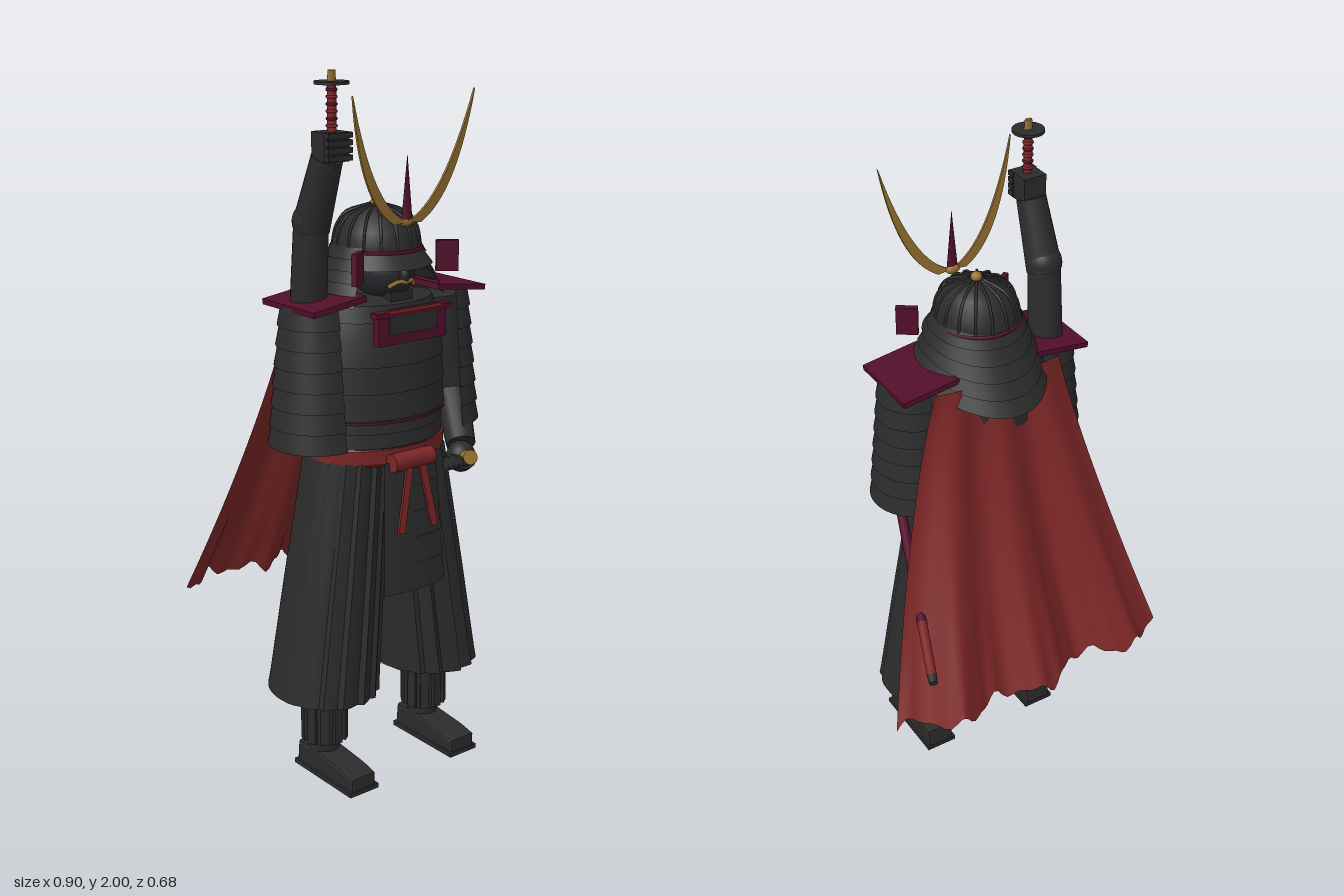
import * as THREE from 'three';
import { toCreasedNormals } from 'three/addons/utils/BufferGeometryUtils.js';

const paint = (name, color) => new THREE.MeshStandardMaterial({ name, color, side: THREE.DoubleSide });
const V = (x, y, z) => new THREE.Vector3(x, y, z);
const CX = -0.045, CZ = 0.13; // body axis

export function createModel() {
  const root = new THREE.Group();
  const black = paint('blackArmour', 0x2b2b2b);
  const mask = paint('darkSteel', 0x25282c);
  const red = paint('redCloth', 0x7c2626);
  const maroon = paint('maroonLacquer', 0x530f2a);
  const gold = paint('gold', 0x957030);

  function add(name, geo, mat, x = 0, y = 0, z = 0, parent = root) {
    const m = new THREE.Mesh(geo, mat);
    m.name = name;
    m.position.set(x, y, z);
    parent.add(m);
    return m;
  }
  const box = (name, w, h, d, mat, x, y, z) => add(name, new THREE.BoxGeometry(w, h, d), mat, x, y, z);

  // Tapered round bar between two points
  function limb(name, a, b, ra, rb, mat, sides = 16) {
    const dir = b.clone().sub(a);
    const m = add(name, new THREE.CylinderGeometry(rb, ra, dir.length(), sides), mat);
    m.position.copy(a).lerp(b, 0.5);
    m.quaternion.setFromUnitVectors(V(0, 1, 0), dir.normalize());
    return m;
  }
  function ball(name, x, y, z, rx, ry, rz, mat) {
    const m = add(name, new THREE.SphereGeometry(1, 20, 14), mat, x, y, z);
    m.scale.set(rx, ry, rz);
    return m;
  }
  // Lathe with crisp edges, optional arc and vertex rule
  function lathe(pts, zScale = 1, start = 0, arc = Math.PI * 2, segs = 40, rule = null) {
    const g = new THREE.LatheGeometry(pts.map(p => new THREE.Vector2(p[0], p[1])), segs, start, arc);
    g.scale(1, 1, zScale);
    if (rule) {
      const p = g.attributes.position, v = V(0, 0, 0);
      for (let i = 0; i < p.count; i++) {
        rule(v.fromBufferAttribute(p, i));
        p.setXYZ(i, v.x, v.y, v.z);
      }
    }
    return toCreasedNormals(g, 0.6);
  }
  // Overlapping lamellae: each row flares out over the one below
  function rows(y0, y1, n, radius, lip = 0.006) {
    const pts = [];
    for (let i = 0; i < n; i++) {
      const a = i / n, b = (i + 1) / n;
      pts.push([radius(a) + lip, y0 + (y1 - y0) * a], [radius(b), y0 + (y1 - y0) * b]);
    }
    return pts;
  }

  // Legs, mirrored about the body axis
  for (const s of [-1, 1]) {
    const x = CX + s * 0.187;
    box('sandal', 0.1, 0.014, 0.265, black, x, 0.007, 0.183);
    const side = new THREE.Shape([[-0.305, 0.014], [-0.305, 0.045], [-0.26, 0.055], [-0.12, 0.07], [-0.065, 0.065], [-0.06, 0.014]]
      .map(p => new THREE.Vector2(...p)));
    const foot = new THREE.ExtrudeGeometry(side, { depth: 0.066, bevelSize: 0.008, bevelThickness: 0.01, bevelSegments: 2 });
    foot.translate(0, 0, -0.033).rotateY(Math.PI / 2);
    add('foot', foot, black, x, 0, 0);
    limb('ankle', V(x, 0.04, 0.125), V(x, 0.12, 0.13), 0.045, 0.045, black);
    limb('shin', V(x, 0.1, CZ), V(x, 0.42, CZ), 0.057, 0.062, black);
    for (let i = 0; i < 10; i++) {
      const a = i / 10 * Math.PI * 2;
      const splint = box('shinSplint', 0.026, 0.3, 0.014, black, x + Math.sin(a) * 0.06, 0.255, CZ + Math.cos(a) * 0.06);
      splint.rotation.y = a;
    }
    // Wide trouser leg with pleats at the front
    const leg = lathe([[0.05, 0.28], [0.14, 0.28], [0.15, 0.262], [0.147, 0.3], [0.133, 0.58], [0.112, 0.95]], 1.13, 0, Math.PI * 2, 72, v => {
      const a = Math.atan2(v.x, v.z), t = (v.y - 0.26) / 0.69;
      const k = 1 + 0.05 * Math.max(0, Math.cos(a)) * (((s * a * 18 / Math.PI) % 2 + 2) % 2 - 1);
      v.x = v.x * k - s * t * 0.085;
      v.z *= k;
    });
    add('trouserLeg', leg, black, x, 0, 0.122);
  }

  // Armoured skirt: side and back panels, plus a front panel hung further forward
  const skirtRows = rows(0.575, 0.95, 5, t => 0.272 - 0.062 * t, 0.004);
  for (const [mid, half] of [[1.05, 0.42], [2.0, 0.46], [Math.PI, 0.6], [-2.0, 0.46], [-1.05, 0.42]])
    add('skirtPanel', lathe(skirtRows, 0.61, mid - half, half * 2, 14), black, CX, 0, 0.108);
  add('frontSkirtPanel', lathe(rows(0.575, 0.95, 5, t => 0.28 - 0.045 * t, 0.005), 0.6, -0.4, 0.8, 14), black, CX, 0, 0.148);

  // Cuirass
  add('cuirass', lathe([[0.195, 0.98], ...rows(0.99, 1.07, 2, t => 0.2), ...rows(1.07, 1.29, 3, t => 0.207 - 0.012 * t * t),
    ...rows(1.29, 1.38, 2, t => 0.19 - 0.02 * t), [0.08, 1.4], [0.07, 1.46]], 0.74), black, CX, 0, CZ);
  add('waistTrim', lathe([[0.215, 1.06], [0.215, 1.068]], 0.74), maroon, CX, 0, CZ);
  // Breast plate in a lacquered frame
  box('breastFrame', 0.235, 0.09, 0.024, maroon, CX, 1.325, 0.275);
  box('breastInset', 0.165, 0.055, 0.008, black, CX, 1.335, 0.289);
  box('collarBar', 0.26, 0.014, 0.03, maroon, CX, 1.365, 0.28);
  box('collarCord', 0.18, 0.01, 0.01, red, CX, 1.372, 0.295);

  // Sash with knot and tails
  add('sash', lathe([[0.2, 0.935], [0.214, 0.945], [0.216, 0.985], [0.2, 1.0]], 0.7), red, CX, 0, CZ);
  limb('sashKnot', V(-0.12, 0.95, 0.29), V(0.02, 0.95, 0.29), 0.026, 0.026, red);
  for (const s of [-1, 1]) {
    const tail = box('sashTail', 0.022, 0.2, 0.008, red, CX + s * 0.04, 0.85, 0.31);
    tail.rotation.set(-0.06, 0, s * 0.2);
  }

  // Shoulder plates and hanging sleeve guards
  for (const s of [-1, 1]) {
    const plate = box('shoulderPlate', 0.175, 0.016, 0.23, maroon, CX + s * 0.212, 1.395, CZ);
    plate.rotation.z = -s * 0.13;
    add('sleeveGuard', lathe(rows(1.0, 1.385, 7, t => 0.13 - 0.035 * t, 0.006), 1, s > 0 ? 0 : Math.PI, Math.PI, 24), black, CX + s * 0.205, 0, CZ);
  }

  // Raised right arm with gauntlet
  const hand = V(-0.27, 1.81, 0.222);
  limb('raisedUpperArm', V(-0.265, 1.3, 0.11), V(-0.272, 1.61, 0.14), 0.052, 0.047, black);
  ball('raisedElbow', -0.272, 1.61, 0.142, 0.052, 0.052, 0.052, black);
  limb('raisedForearm', V(-0.272, 1.59, 0.138), V(-0.27, 1.78, 0.208), 0.051, 0.042, black);
  box('raisedHand', 0.07, 0.075, 0.068, black, hand.x, hand.y, hand.z);
  for (let i = 0; i < 4; i++) box('finger', 0.078, 0.014, 0.024, black, hand.x, 1.783 + i * 0.019, hand.z + 0.032);
  // Sword hilt
  limb('hilt', V(-0.27, 1.74, 0.228), V(-0.27, 1.965, 0.228), 0.012, 0.012, red);
  for (let i = 0; i < 6; i++) {
    const wrap = add('hiltWrap', new THREE.TorusGeometry(0.012, 0.004, 6, 14), i % 2 ? maroon : red, -0.27, 1.862 + i * 0.018, 0.228);
    wrap.rotation.x = Math.PI / 2;
  }
  limb('guard', V(-0.27, 1.965, 0.228), V(-0.27, 1.973, 0.228), 0.045, 0.045, black, 24);
  limb('hiltCollar', V(-0.27, 1.973, 0.228), V(-0.27, 2.0, 0.228), 0.013, 0.011, gold).scale.z = 0.6;

  // Lowered left arm resting on the scabbard
  limb('leftUpperArm', V(0.19, 1.36, CZ), V(0.23, 1.07, 0.135), 0.058, 0.052, black);
  ball('leftElbow', 0.23, 1.07, 0.135, 0.056, 0.056, 0.056, black);
  limb('leftForearm', V(0.23, 1.07, 0.135), V(0.16, 0.945, 0.26), 0.052, 0.042, black);
  ball('leftHand', 0.147, 0.915, 0.275, 0.042, 0.045, 0.042, black);
  for (let i = 0; i < 4; i++) box('leftFinger', 0.022, 0.02, 0.055, black, 0.115, 0.89 + i * 0.01, 0.245 + i * 0.02);
  // Scabbard
  const A = V(0.125, 0.932, 0.34), B = V(0.38, 0.71, -0.33);
  const along = t => A.clone().lerp(B, t);
  limb('scabbardMouth', along(0), along(0.055), 0.021, 0.021, gold);
  limb('scabbardGuard', along(0.055), along(0.07), 0.034, 0.034, black);
  limb('scabbard', along(0.07), along(0.74), 0.015, 0.014, maroon);
  limb('scabbardEnd', along(0.74), along(0.965), 0.014, 0.014, red);
  limb('scabbardTip', along(0.965), along(1), 0.014, 0.012, black);

  // Helmet bowl with ribs, rim, knob and brim
  add('helmetBowl', lathe([[0.119, 1.5], [0.118, 1.53], [0.108, 1.57], [0.084, 1.605], [0.045, 1.625], [0, 1.632]], 1.05), black, CX, 0, CZ);
  for (let i = 0; i < 16; i++) {
    const a = (i + 0.5) / 16 * Math.PI * 2;
    const path = new THREE.CatmullRomCurve3([[0.119, 1.52], [0.109, 1.572], [0.085, 1.607], [0.02, 1.632]]
      .map(([r, y]) => V(Math.sin(a) * r, y, Math.cos(a) * r * 1.05)));
    add('helmetRib', new THREE.TubeGeometry(path, 10, 0.004, 5), black, CX, 0, CZ);
  }
  const rim = add('helmetRim', new THREE.TorusGeometry(0.121, 0.005, 6, 40), maroon, CX, 1.518, CZ);
  rim.rotation.x = Math.PI / 2;
  rim.scale.y = 1.05;
  ball('helmetKnob', CX, 1.637, CZ, 0.016, 0.014, 0.016, gold);
  add('brim', lathe([[0.15, 1.475], [0.12, 1.515]], 1.05, -1.1, 2.2, 24), black, CX, 0, CZ);
  // Flaring neck guard, lower at the back
  const drop = v => {
    const b = Math.max(0, -v.z / Math.hypot(v.x, v.z)), t = (1.53 - v.y) / 0.15;
    v.z *= 1 + 0.22 * b * t;
    v.y -= 0.065 * b * t;
  };
  add('neckGuard', lathe(rows(1.38, 1.53, 5, t => 0.185 - 0.065 * t, 0.005), 1, Math.PI - 2.15, 4.3, 48, drop), black, CX, 0, CZ);
  for (const s of [-1, 1]) {
    const wing = box('helmetWing', 0.062, 0.085, 0.016, maroon, CX + s * 0.155, 1.49, 0.245);
    wing.rotation.y = -s * 0.6;
  }

  // Face mask with moustache
  ball('faceMask', CX, 1.455, 0.15, 0.088, 0.085, 0.1, mask);
  ball('maskNose', CX, 1.455, 0.25, 0.014, 0.022, 0.016, mask);
  box('maskChin', 0.075, 0.03, 0.05, mask, CX, 1.395, 0.215);
  for (const s of [-1, 1]) {
    box('eyeSlit', 0.035, 0.01, 0.008, black, CX + s * 0.034, 1.478, 0.238);
    const hair = new THREE.CatmullRomCurve3([V(0, 1.436, 0.258), V(s * 0.02, 1.44, 0.254), V(s * 0.045, 1.425, 0.236)]);
    add('moustache', new THREE.TubeGeometry(hair, 10, 0.006, 6), gold, CX);
  }

  // Crest: two curved horns and a central spike
  for (const s of [-1, 1]) {
    const horn = new THREE.Shape();
    horn.moveTo(0, 0);
    horn.quadraticCurveTo(s * 0.12, 0.04, s * 0.205, 0.34);
    horn.quadraticCurveTo(s * 0.165, 0.06, s * 0.045, -0.005);
    horn.closePath();
    const g = new THREE.ExtrudeGeometry(horn, { depth: 0.007, bevelEnabled: false, curveSegments: 16 });
    add('crestHorn', g, gold, CX, 1.6, 0.256).rotation.x = 0.08;
  }
  const spike = add('crestSpike', new THREE.ConeGeometry(0.018, 0.18, 6), maroon, CX, 1.69, 0.258);
  spike.scale.z = 0.5;
  ball('crestBoss', CX, 1.6, 0.255, 0.022, 0.014, 0.012, gold);

  // Billowing cape with a ragged hem
  const cape = new THREE.PlaneGeometry(1, 1, 60, 36), p = cape.attributes.position;
  for (let i = 0; i < p.count; i++) {
    const u = p.getX(i) * 2, t = 0.5 - p.getY(i);
    const wave = Math.cos(u * 9.6 + 0.3) * 0.032 + 0.012 * Math.sin(u * 4);
    const hem = 0.014 * Math.sin(u * 23) + 0.01 * Math.sin(u * 41 + 1);
    const x = -0.04 * (1 - t) + u * (0.2 + 0.25 * t);
    const z = 0.005 - 0.305 * Math.pow(t, 1.4) - wave * (0.15 + 0.85 * t) + 0.03 * u * u * t;
    p.setXYZ(i, x, 1.385 - 0.89 * t + hem * t * t * t, z);
  }
  cape.computeVertexNormals();
  add('cape', cape, red);

  return root;
}
